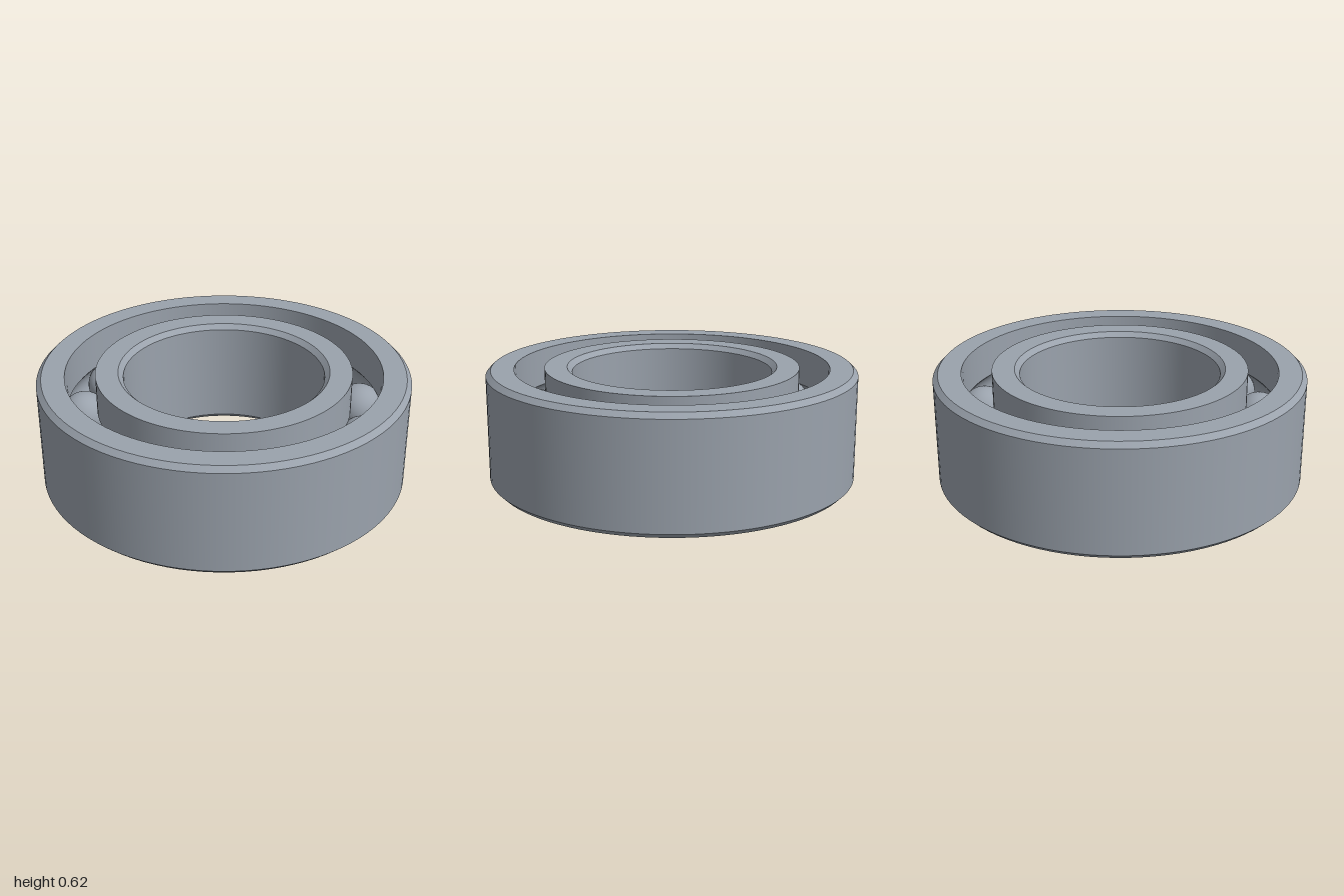
import * as THREE from 'three';
import { mergeGeometries } from 'three/addons/utils/BufferGeometryUtils.js';

const HEIGHT = 0.616, MID = HEIGHT / 2, CHAMFER = 0.027;
const PITCH = 0.77, BALL_RADIUS = 0.128, BALL_COUNT = 13;
const OUTER = 1, OUTER_LIP = 0.85, INNER_LIP = 0.688, BORE = 0.54;

// Arc of the raceway groove where it cuts the wall at the given radius, bottom to top
function grooveArc(wallRadius) {
  const side = Math.sign(wallRadius - PITCH);
  const half = Math.acos(Math.abs(wallRadius - PITCH) / BALL_RADIUS);
  const points = [];
  for (let i = 0; i <= 12; i++) {
    const a = half * (i / 6 - 1);
    points.push([PITCH + side * BALL_RADIUS * Math.cos(a), MID + BALL_RADIUS * Math.sin(a)]);
  }
  return points;
}

// Revolves each band on its own, so edges between bands stay sharp
function ringGeometry(bands) {
  return mergeGeometries(bands.map((band) =>
    new THREE.LatheGeometry(band.map(([r, y]) => new THREE.Vector2(r, y)), 96)));
}

// Joins consecutive corners into straight bands
function straightBands(corners) {
  return corners.slice(1).map((corner, i) => [corners[i], corner]);
}

export function createModel() {
  const model = new THREE.Group();
  model.name = 'ballBearing';
  const steel = new THREE.MeshStandardMaterial({ color: 0x9aa2ac });
  steel.name = 'steel';

  const add = (name, geometry, parent = model) => {
    const mesh = new THREE.Mesh(geometry, steel);
    mesh.name = name;
    parent.add(mesh);
    return mesh;
  };

  // Outer ring: chamfered outside, raceway groove inside
  const outerGroove = grooveArc(OUTER_LIP).reverse();
  add('outerRing', ringGeometry([
    ...straightBands([
      outerGroove[12], [OUTER_LIP, 0], [OUTER - CHAMFER, 0], [OUTER, CHAMFER],
      [OUTER, HEIGHT - CHAMFER], [OUTER - CHAMFER, HEIGHT], [OUTER_LIP, HEIGHT], outerGroove[0],
    ]),
    outerGroove,
  ]));

  // Inner ring: raceway groove outside, chamfered bore
  const innerGroove = grooveArc(INNER_LIP);
  add('innerRing', ringGeometry([
    ...straightBands([
      innerGroove[12], [INNER_LIP, HEIGHT], [BORE + CHAMFER, HEIGHT], [BORE, HEIGHT - CHAMFER],
      [BORE, CHAMFER], [BORE + CHAMFER, 0], [INNER_LIP, 0], innerGroove[0],
    ]),
    innerGroove,
  ]));

  // Balls evenly spaced round the raceway
  const balls = new THREE.Group();
  balls.name = 'balls';
  model.add(balls);
  const ballGeometry = new THREE.SphereGeometry(BALL_RADIUS, 32, 20);
  for (let i = 0; i < BALL_COUNT; i++) {
    const a = THREE.MathUtils.degToRad(11.9) + (i / BALL_COUNT) * Math.PI * 2;
    add('ball', ballGeometry, balls).position.set(PITCH * Math.cos(a), MID, PITCH * Math.sin(a));
  }

  return model;
}
